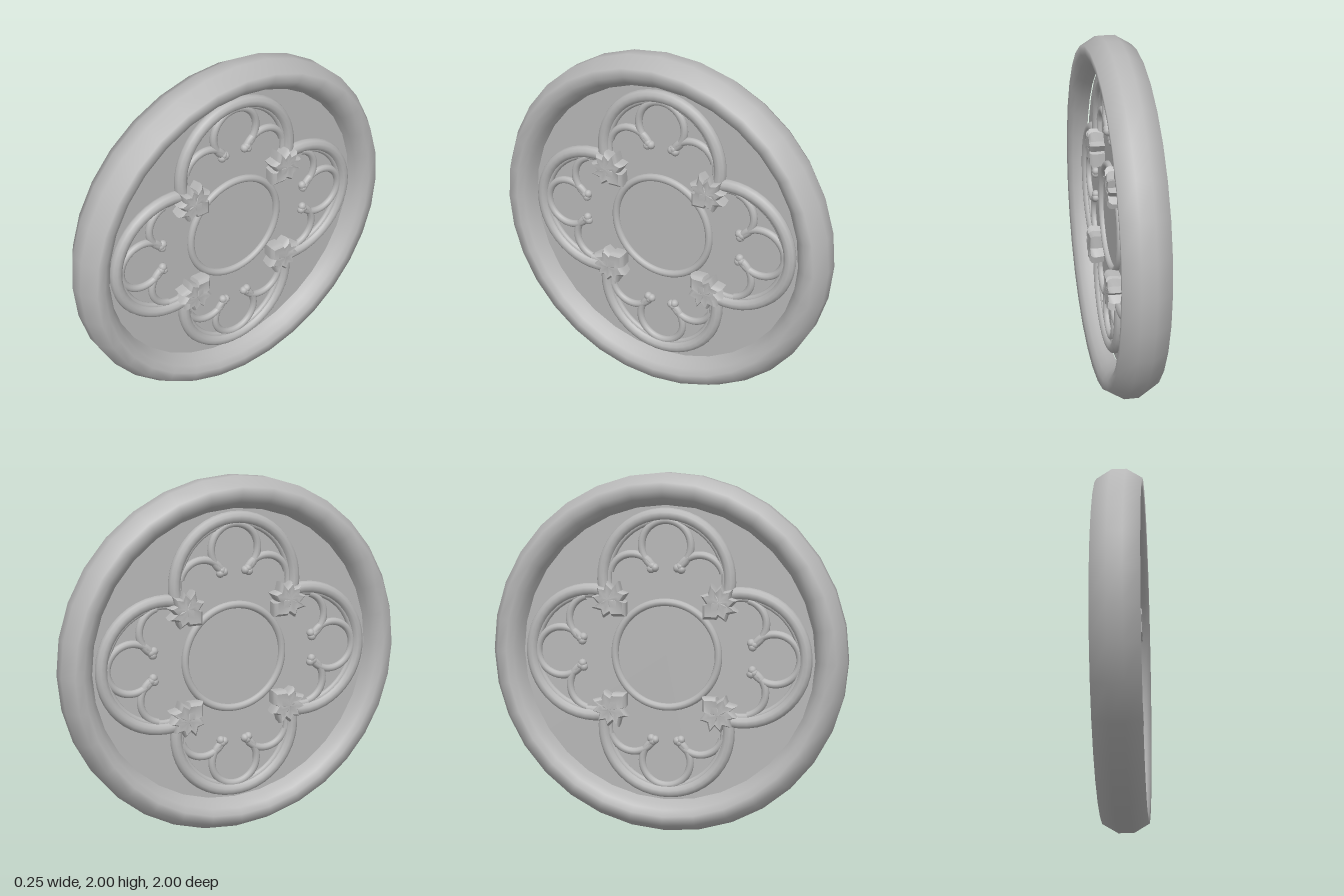
import * as THREE from 'three';
import { toCreasedNormals } from 'three/addons/utils/BufferGeometryUtils.js';

const rad = THREE.MathUtils.degToRad;
const stone = new THREE.MeshStandardMaterial({ color: 0xb8b8b8 });
stone.name = 'grey stone';

function part(name, geometry, parent, x = 0, y = 0, z = 0) {
  const mesh = new THREE.Mesh(geometry, stone);
  mesh.name = name;
  mesh.position.set(x, y, z);
  parent.add(mesh);
  return mesh;
}

// Round moulding along a circular arc, angles in degrees
function arc(name, parent, x, y, z, radius, tube, from, to) {
  const g = new THREE.TorusGeometry(radius, tube, 10, Math.ceil((to - from) / 8), rad(to - from));
  part(name, g.rotateZ(rad(from)), parent, x, y, z);
}

// Carved leaf lofted from its outline: upright sides, then a rounded face
function leafGeometry() {
  const half = [[0.055, -0.08], [0.048, -0.06], [0.1, -0.05], [0.08, -0.012], [0.108, 0.035],
    [0.062, 0.03], [0.062, 0.08], [0.025, 0.062]];
  const outline = [[0, -0.135], ...half, [0, 0.1], ...half.slice().reverse().map(([x, y]) => [-x, y])];
  const loops = [[0.92, 0], [1, 0.055], [0.96, 0.072], [0.82, 0.084], [0.45, 0.08], [0, 0.09]];
  const n = outline.length, positions = [], index = [];
  for (const [s, z] of loops) for (const [x, y] of outline) positions.push(x * s, y * s, z);
  for (let r = 0; r < loops.length - 1; r++) {
    for (let i = 0; i < n; i++) {
      const a = r * n + i, b = r * n + (i + 1) % n;
      index.push(a, b, b + n);
      if (r < loops.length - 2) index.push(a, b + n, a + n);
    }
  }
  const g = new THREE.BufferGeometry();
  g.setAttribute('position', new THREE.Float32BufferAttribute(positions, 3));
  g.setIndex(index);
  return toCreasedNormals(g, rad(40));
}

// One lobe of the quatrefoil, pointing up
function createLobe() {
  const lobe = new THREE.Group();
  lobe.name = 'lobe';
  arc('lobeArch', lobe, 0, 0.42, 0.025, 0.357, 0.034, -17, 197);
  arc('lobeInnerArch', lobe, 0, 0.42, 0.018, 0.327, 0.018, -8, 188);
  arc('foilCircle', lobe, 0, 0.605, 0.018, 0.138, 0.021, -55, 235);
  for (const s of [-1, 1]) {
    const [from, to] = s > 0 ? [15, 150] : [30, 165];
    arc('foilSide', lobe, s * 0.19, 0.425, 0.018, 0.132, 0.021, from, to);
    // Cusp end made of small buds
    for (const [x, y] of [[0.078, 0.492], [0.064, 0.483], [0.085, 0.476]]) {
      part('cuspBud', new THREE.SphereGeometry(0.024, 10, 8), lobe, s * x, y, 0.02);
    }
  }
  return lobe;
}

// Tracery for one face, facing +z before it is turned
function createTracery(leaf) {
  const face = new THREE.Group();
  face.name = 'tracery';
  part('centreRing', new THREE.TorusGeometry(0.294, 0.021, 10, 64), face, 0, 0, 0.015);
  for (let i = 0; i < 4; i++) {
    const lobe = createLobe();
    lobe.rotation.z = i * Math.PI / 2;
    face.add(lobe);
    const a = Math.PI / 4 + i * Math.PI / 2;
    const m = part('leaf', leaf, face, Math.cos(a) * 0.437, Math.sin(a) * 0.437, 0.01);
    m.rotation.z = a - Math.PI / 2;
  }
  return face;
}

export function createModel() {
  const model = new THREE.Group();
  model.name = 'roundWindow';
  const body = new THREE.Group();
  body.name = 'body';
  body.position.y = 1;
  model.add(body);

  // Rim: closed rounded profile turned about the x axis
  const side = [[1, 0.04], [0.95, 0.125], [0.9, 0.121], [0.865, 0.1], [0.84, 0.065], [0.825, 0.02]];
  const profile = [
    ...side.slice().reverse().map(([r, h]) => new THREE.Vector2(r, -h)),
    ...side.map(([r, h]) => new THREE.Vector2(r, h)),
  ];
  part('rim', new THREE.LatheGeometry(profile, 32).rotateZ(-Math.PI / 2), body);

  // Thin panel filling the rim
  part('panel', new THREE.CylinderGeometry(0.84, 0.84, 0.02, 32).rotateZ(-Math.PI / 2), body);

  // Matching tracery on both faces
  const leaf = leafGeometry();
  for (const s of [1, -1]) {
    const face = createTracery(leaf);
    face.rotation.y = s * Math.PI / 2;
    body.add(face);
  }
  return model;
}
